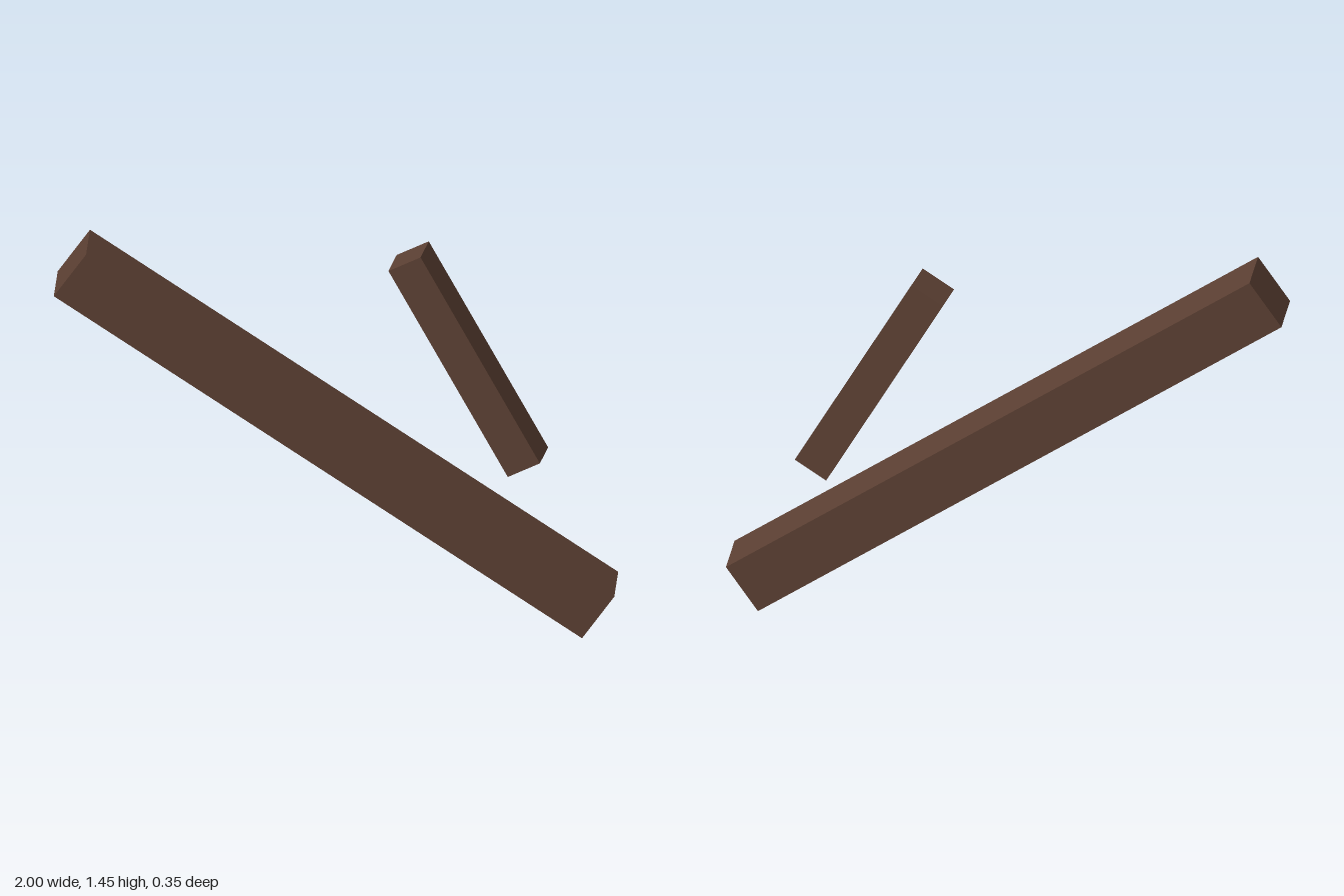
import * as THREE from 'three';

export function createModel() {
  const model = new THREE.Group();
  const darkWood = new THREE.MeshStandardMaterial({ color: 0x5c4033 });
  darkWood.name = 'darkWood';

  // A square beam, tilted down towards +x and then turned about the vertical.
  function addBeam(name, length, thickness, position, tilt, turn) {
    const beam = new THREE.Mesh(new THREE.BoxGeometry(length, thickness, thickness), darkWood);
    beam.name = name;
    beam.position.set(...position);
    beam.rotation.set(0, -THREE.MathUtils.degToRad(turn), -THREE.MathUtils.degToRad(tilt), 'YXZ');
    model.add(beam);
  }

  // Long fallen beam and the short broken piece above it
  addBeam('longBeam', 2.275, 0.203, [0, 0.725, 0.03], 34.4, 2.6);
  addBeam('shortBeam', 0.88, 0.134, [0.467, 0.983, -0.057], 60.5, 11.2);

  return model;
}
